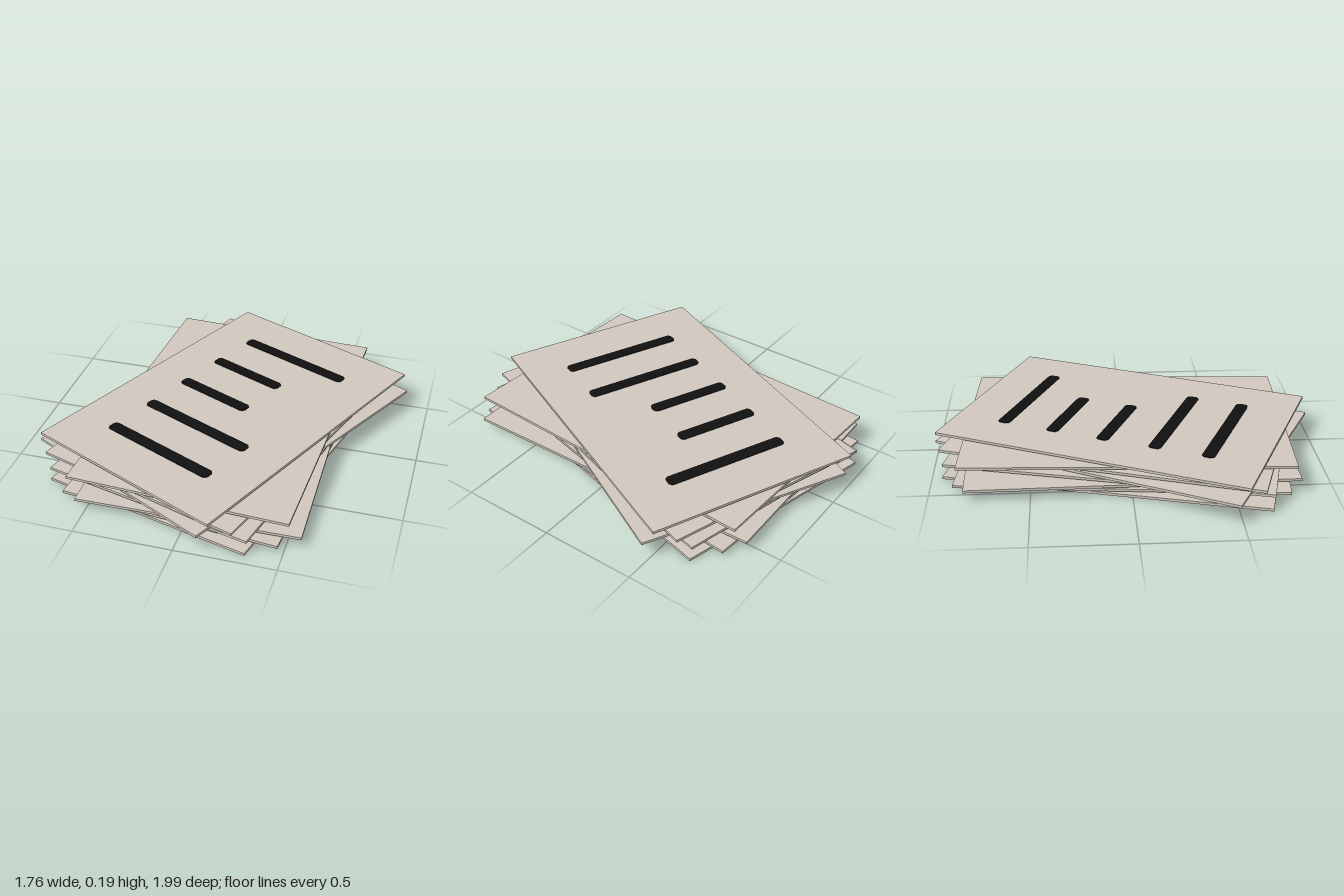
import * as THREE from 'three';

const WIDTH = 1.12, LENGTH = 1.665, THICK = 0.0135, PITCH = 0.0243;

// Turn of each sheet in degrees, bottom to top
const TURNS = [-14.7, -5.9, 0.8, -14.2, -27.4, -18.2, -2.9, -24.3];

// Printed lines: [length, centre across the sheet], spaced evenly along it
const LINES = [[0.665, 0], [0.445, -0.115], [0.445, -0.115], [0.665, 0], [0.665, 0]];
const LINE_WIDTH = 0.066, LINE_STEP = 0.278, LINE_HEIGHT = 0.003;

// Thin bar with rounded corners, lying flat
function lineGeometry(length) {
  const x = length / 2, y = LINE_WIDTH / 2, r = 0.023;
  const shape = new THREE.Shape();
  shape.absarc(x - r, y - r, r, 0, Math.PI / 2);
  shape.absarc(-x + r, y - r, r, Math.PI / 2, Math.PI);
  shape.absarc(-x + r, -y + r, r, Math.PI, Math.PI * 1.5);
  shape.absarc(x - r, -y + r, r, Math.PI * 1.5, Math.PI * 2);
  const geometry = new THREE.ExtrudeGeometry(shape, { depth: LINE_HEIGHT, bevelEnabled: false, curveSegments: 6 });
  return geometry.rotateX(-Math.PI / 2);
}

export function createModel() {
  const paper = new THREE.MeshStandardMaterial({ color: 0xd0c8be });
  paper.name = 'paper';
  const ink = new THREE.MeshStandardMaterial({ color: 0x101010 });
  ink.name = 'ink';

  const model = new THREE.Group();
  model.name = 'paperStack';

  // Loose sheets, each turned about the stack's centre
  const sheetGeometry = new THREE.BoxGeometry(WIDTH, THICK, LENGTH);
  let top;
  TURNS.forEach((turn, i) => {
    top = new THREE.Group();
    top.name = `sheet${i + 1}`;
    top.position.y = THICK / 2 + i * PITCH;
    top.rotation.y = THREE.MathUtils.degToRad(turn);
    const sheet = new THREE.Mesh(sheetGeometry, paper);
    sheet.name = 'page';
    top.add(sheet);
    model.add(top);
  });

  // Lines of writing on the top sheet
  LINES.forEach(([length, x], i) => {
    const line = new THREE.Mesh(lineGeometry(length), ink);
    line.name = `textLine${i + 1}`;
    line.position.set(x, THICK / 2, (i - 2) * LINE_STEP - 0.004);
    top.add(line);
  });

  return model;
}
